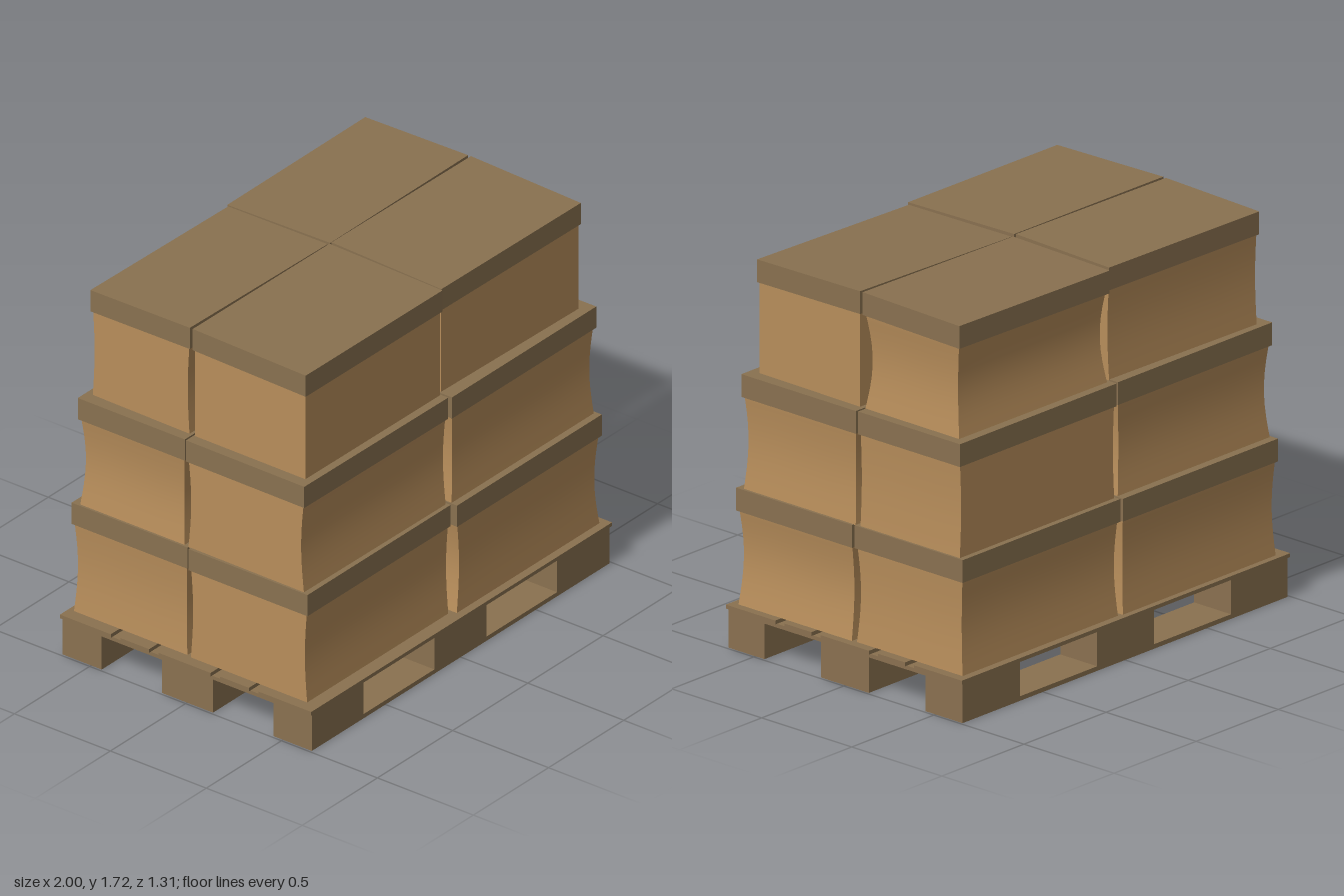
import * as THREE from 'three';

const wood = new THREE.MeshStandardMaterial({ color: 0x8a7150 });
wood.name = 'pallet wood';
const cardboard = new THREE.MeshStandardMaterial({ color: 0xb88e5b });
cardboard.name = 'cardboard';
const lidCard = new THREE.MeshStandardMaterial({ color: 0x897150 });
lidCard.name = 'lid cardboard';

// Box given by its extents on each axis
function slab(name, material, [x0, x1], [y0, y1], [z0, z1]) {
  const mesh = new THREE.Mesh(new THREE.BoxGeometry(x1 - x0, y1 - y0, z1 - z0), material);
  mesh.position.set((x0 + x1) / 2, (y0 + y1) / 2, (z0 + z1) / 2);
  mesh.name = name;
  return mesh;
}

function createPallet() {
  const pallet = new THREE.Group();
  pallet.name = 'pallet';
  const columns = [[-0.99, -0.645], [-0.175, 0.17], [0.64, 0.99]];
  const rows = [[-0.65, -0.445], [-0.13, 0.135], [0.45, 0.65]];
  const deck = [[-0.655, -0.39], [-0.34, -0.19], [-0.14, 0.13], [0.18, 0.33], [0.38, 0.655]];
  for (const z of rows) {
    pallet.add(slab('bottomRunner', wood, [-0.99, 0.99], [0, 0.02], z));
    for (const x of columns) pallet.add(slab('block', wood, x, [0.02, 0.156], z));
  }
  for (const x of columns) pallet.add(slab('crossBoard', wood, x, [0.156, 0.173], [-0.65, 0.65]));
  for (const z of deck) pallet.add(slab('deckBoard', wood, [-1, 1], [0.173, 0.19], z));
  return pallet;
}

// Cardboard box with walls sagging inward at mid height, and an overhanging lid
function createCarton([x0, x1], [z0, z1], height, { yaw = 0, pinchX = 0, pinchZ = 0, slopeX = 0, slopeZ = 0 }) {
  const carton = new THREE.Group();
  carton.name = 'carton';
  const width = x1 - x0, depth = z1 - z0, inset = 0.007, lidHeight = 0.1;

  const bodyHeight = height - 0.025;
  const bodyGeo = new THREE.BoxGeometry(width - 2 * inset, bodyHeight, depth - 2 * inset, 4, 10, 4);
  const p = bodyGeo.attributes.position;
  for (let i = 0; i < p.count; i++) {
    const x = p.getX(i), z = p.getZ(i);
    const t = Math.min(1, (p.getY(i) / bodyHeight + 0.5) / 0.9);
    const sag = Math.sin(Math.PI * t);
    p.setX(i, x - (x / width) * 2 * pinchX * sag);
    p.setZ(i, z - (z / depth) * 2 * pinchZ * sag);
  }
  bodyGeo.computeVertexNormals();
  const body = new THREE.Mesh(bodyGeo, cardboard);
  body.name = 'cartonBody';
  body.position.y = bodyHeight / 2;

  // Lid sheared so its top leans slightly
  const lidGeo = new THREE.BoxGeometry(width, lidHeight, depth);
  const q = lidGeo.attributes.position;
  for (let i = 0; i < q.count; i++) {
    q.setY(i, q.getY(i) + slopeX * q.getX(i) + slopeZ * q.getZ(i));
  }
  lidGeo.computeVertexNormals();
  const lid = new THREE.Mesh(lidGeo, lidCard);
  lid.name = 'cartonLid';
  lid.position.y = height - lidHeight / 2;

  carton.add(body, lid);
  carton.position.set((x0 + x1) / 2, 0, (z0 + z1) / 2);
  carton.rotation.y = yaw;
  return carton;
}

export function createModel() {
  const model = new THREE.Group();
  model.name = 'loadedPallet';
  model.add(createPallet());

  // Tiers from bottom to top; cartons as x range, z range, deformation
  const tiers = [
    { y: 0.19, h: 0.512, cartons: [
      [[-0.955, -0.003], [-0.02, 0.6], { pinchZ: 0.012 }],
      [[0.008, 0.97], [-0.018, 0.625], { pinchX: 0.025, pinchZ: 0.008 }],
      [[-0.948, -0.003], [-0.635, -0.03], { pinchX: 0.012, pinchZ: 0.012 }],
      [[0.005, 0.965], [-0.628, -0.028], { pinchX: 0.01, pinchZ: 0.014 }],
    ] },
    { y: 0.7, h: 0.505, cartons: [
      [[-0.95, -0.003], [-0.035, 0.585], { yaw: -0.008, pinchZ: 0.015 }],
      [[0.006, 0.965], [-0.035, 0.6], { pinchX: 0.016, pinchZ: 0.012 }],
      [[-0.945, -0.005], [-0.605, -0.047], { pinchX: 0.02, pinchZ: 0.015 }],
      [[0.008, 0.962], [-0.61, -0.045], { pinchX: 0.008 }],
    ] },
    { y: 1.2, h: 0.505, cartons: [
      [[-0.905, -0.002], [-0.036, 0.555], { yaw: -0.005, slopeZ: -0.02 }],
      [[0.014, 0.918], [-0.03, 0.552], { yaw: -0.02, slopeX: 0.01, slopeZ: -0.02 }],
      [[-0.898, -0.002], [-0.572, -0.046], { yaw: -0.018, slopeZ: 0.02, pinchZ: 0.01 }],
      [[0.015, 0.925], [-0.577, -0.038], { yaw: -0.006, slopeX: 0.01, slopeZ: 0.02, pinchX: 0.02, pinchZ: 0.025 }],
    ] },
  ];
  tiers.forEach(({ y, h, cartons }, i) => {
    const tier = new THREE.Group();
    tier.name = ['bottomTier', 'middleTier', 'topTier'][i];
    tier.position.y = y;
    for (const [x, z, shape] of cartons) tier.add(createCarton(x, z, h, shape));
    model.add(tier);
  });
  return model;
}
